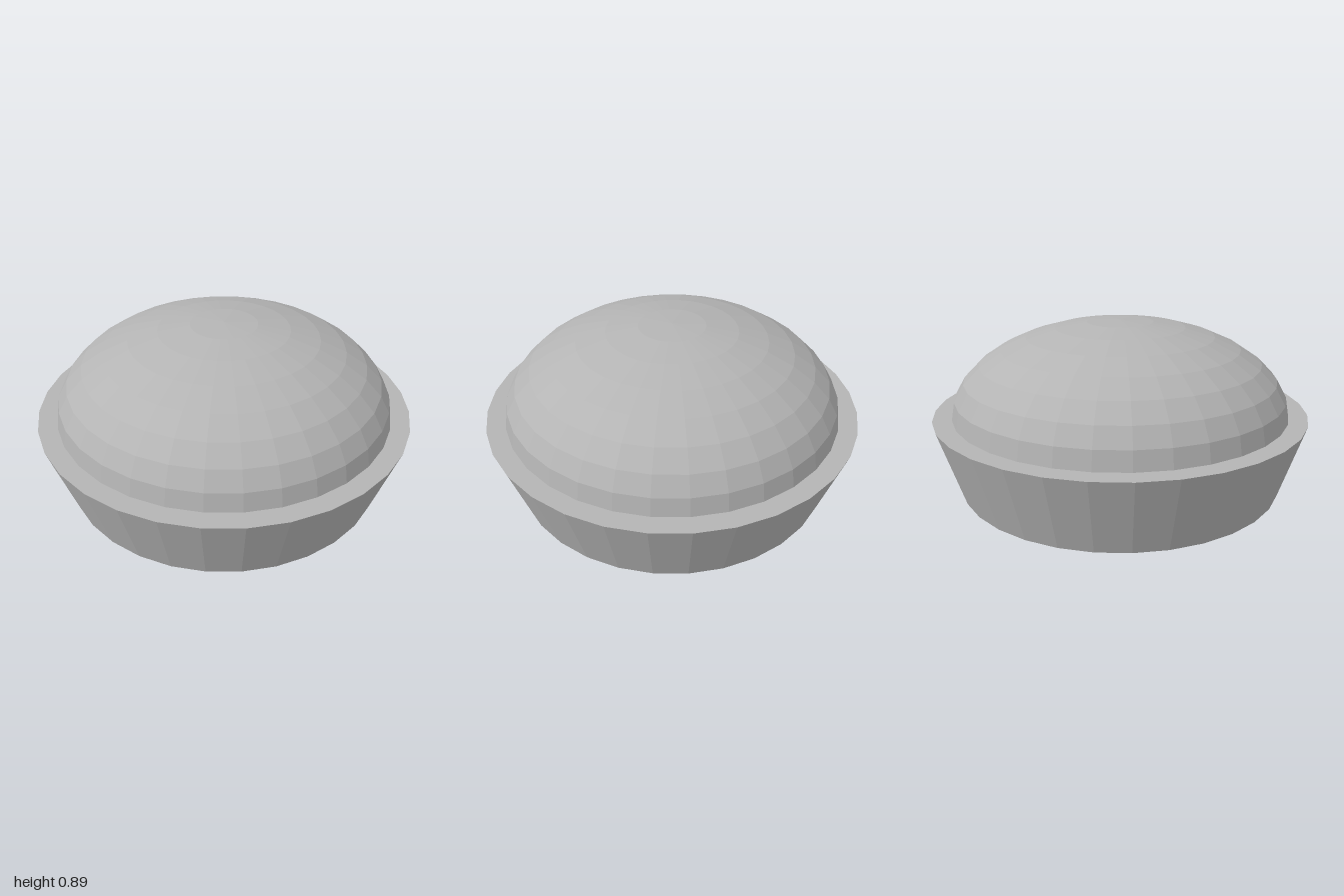
import * as THREE from 'three';

export function createModel() {
  const model = new THREE.Group();
  model.name = 'domedButton';

  const grey = new THREE.MeshStandardMaterial({ color: 0xb4b4b4, flatShading: true });
  grey.name = 'plain grey';

  const SIDES = 32;
  const RIM_Y = 0.4;

  // Tapered base, wider at the rim
  const base = new THREE.Mesh(new THREE.CylinderGeometry(1, 0.87, RIM_Y, SIDES), grey);
  base.name = 'base';
  base.position.y = RIM_Y / 2;
  model.add(base);

  // Flattened half-sphere dome sitting on the rim
  const domeGeometry = new THREE.SphereGeometry(0.9, SIDES, 8, 0, Math.PI * 2, 0, Math.PI / 2);
  domeGeometry.scale(1, 0.54, 1);
  const dome = new THREE.Mesh(domeGeometry, grey);
  dome.name = 'dome';
  dome.position.y = RIM_Y;
  model.add(dome);

  return model;
}
